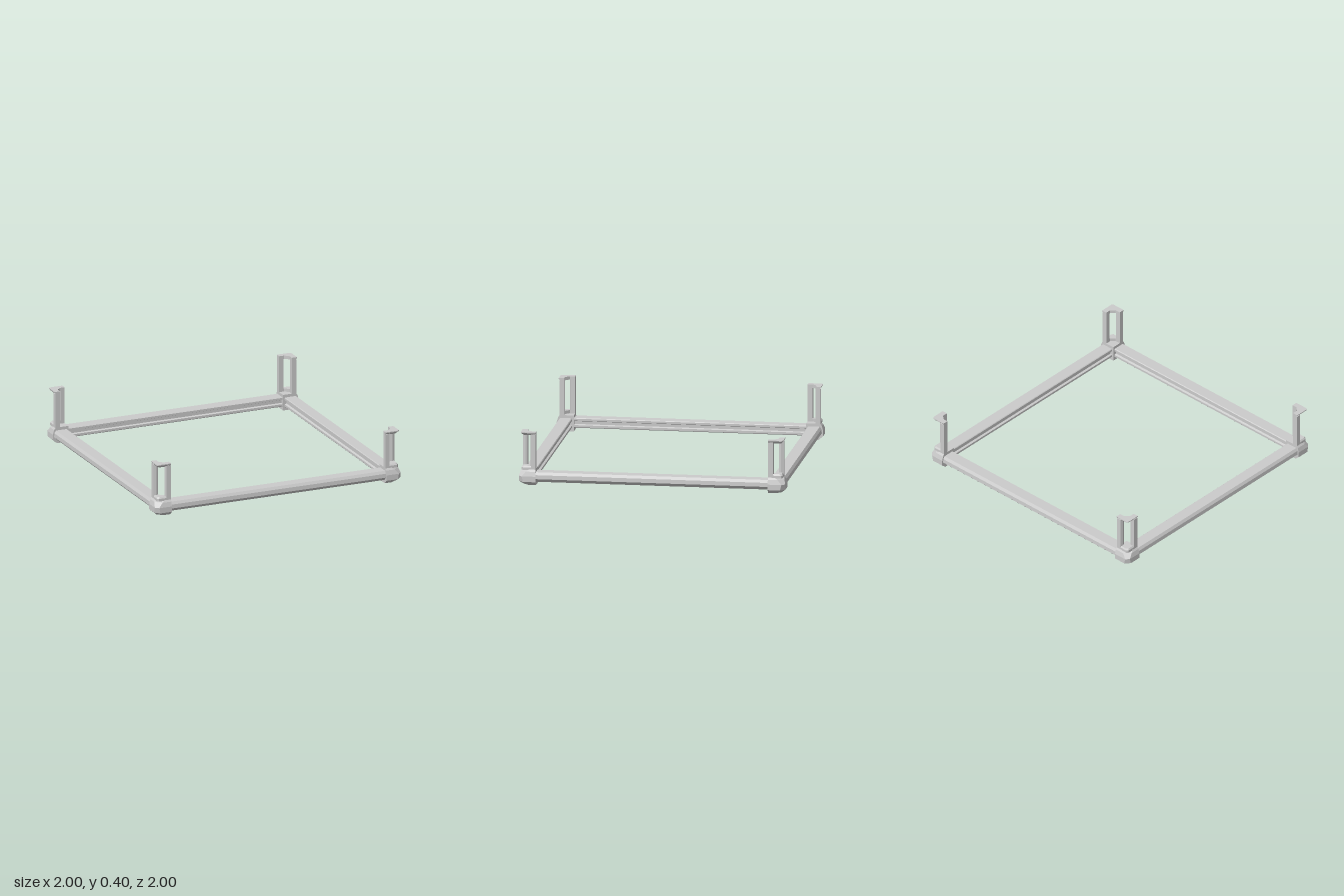
import * as THREE from 'three';

const material = new THREE.MeshStandardMaterial({ color: 0xcccccc, flatShading: true });

// Closed solid through horizontal sections: [height, [[x, z], ...]] from bottom to top
function loft(name, sections) {
  const pos = [];
  const tri = (a, b, c) => pos.push(...a, ...b, ...c);
  const rings = sections.map(([y, pts]) => pts.map(([x, z]) => [x, y, z]));
  const n = rings[0].length;
  for (let k = 0; k < rings.length - 1; k++) {
    const lo = rings[k], hi = rings[k + 1];
    for (let i = 0; i < n; i++) {
      const j = (i + 1) % n;
      tri(lo[i], hi[j], lo[j]);
      tri(lo[i], hi[i], hi[j]);
    }
  }
  const cap = (k) => THREE.ShapeUtils.triangulateShape(
    sections[k][1].map(([x, z]) => new THREE.Vector2(x, z)), []);
  const top = rings.length - 1;
  for (const [a, b, c] of cap(0)) tri(rings[0][a], rings[0][b], rings[0][c]);
  for (const [a, b, c] of cap(top)) tri(rings[top][a], rings[top][c], rings[top][b]);
  const geo = new THREE.BufferGeometry();
  geo.setAttribute('position', new THREE.Float32BufferAttribute(pos, 3));
  geo.computeVertexNormals();
  const mesh = new THREE.Mesh(geo, material);
  mesh.name = name;
  return mesh;
}

const IN = 0.872; // inner limit of every corner piece

// Square section with its outer corner cut off by c
const square = (o, c) => [[IN, IN], [o, IN], [o, o - c], [o - c, o], [IN, o]];

// L section: outer faces at o, inner faces at w, bevelled inside corner
const angle = (o, w = 0.943) => [
  [w, IN], [o, IN], [o, o - 0.012], [o - 0.012, o], [IN, o], [IN, w], [w - 0.03, w], [w, w - 0.03],
];

// Upright leg at the end of one wing, with a bevel on its window edge
const leg = () => [[0.943, IN], [0.98, IN], [0.98, 0.908], [0.96, 0.914], [0.943, 0.908]];
const mirrored = (pts) => pts.map(([x, z]) => [z, x]).reverse();

function corner() {
  const g = new THREE.Group();
  g.name = 'cornerBracket';
  g.add(
    loft('cornerBlock', [
      [0, square(0.968, 0.04)],
      [0.028, square(1, 0.035)],
      [0.07, square(1, 0.025)],
      [0.105, square(0.99, 0.045)],
      [0.122, square(0.978, 0.06)],
    ]),
    loft('windowSill', [[0.115, angle(0.98)], [0.135, angle(0.98)], [0.146, angle(0.972)]]),
    loft('uprightLeg', [[0.12, leg()], [0.385, leg()]]),
    loft('uprightLeg', [[0.12, mirrored(leg())], [0.385, mirrored(leg())]]),
    loft('topCap', [[0.378, angle(0.968)], [0.396, angle(0.985)], [0.403, angle(0.985)]]),
  );
  return g;
}

// Rail profile (outward distance, height), grooved along its inner face
const railProfile = [
  [0.965, 0.025], [0.99, 0.05], [0.988, 0.08], [0.975, 0.1], [0.89, 0.1], [0.885, 0.095],
  [0.885, 0.08], [0.9, 0.074], [0.9, 0.052], [0.885, 0.046], [0.885, 0.03], [0.89, 0.025],
];

function rail() {
  const shape = new THREE.Shape(railProfile.map(([u, y]) => new THREE.Vector2(u, y)));
  const geo = new THREE.ExtrudeGeometry(shape, { depth: 1.84, bevelEnabled: false });
  geo.translate(0, 0, -0.92);
  const mesh = new THREE.Mesh(geo, material);
  mesh.name = 'rail';
  return mesh;
}

export function createModel() {
  const model = new THREE.Group();
  model.name = 'squareFrame';
  // One rail and one corner bracket per side
  for (let i = 0; i < 4; i++) {
    const side = new THREE.Group();
    side.name = 'frameSide';
    side.add(rail(), corner());
    side.rotation.y = (i * Math.PI) / 2;
    model.add(side);
  }
  return model;
}
